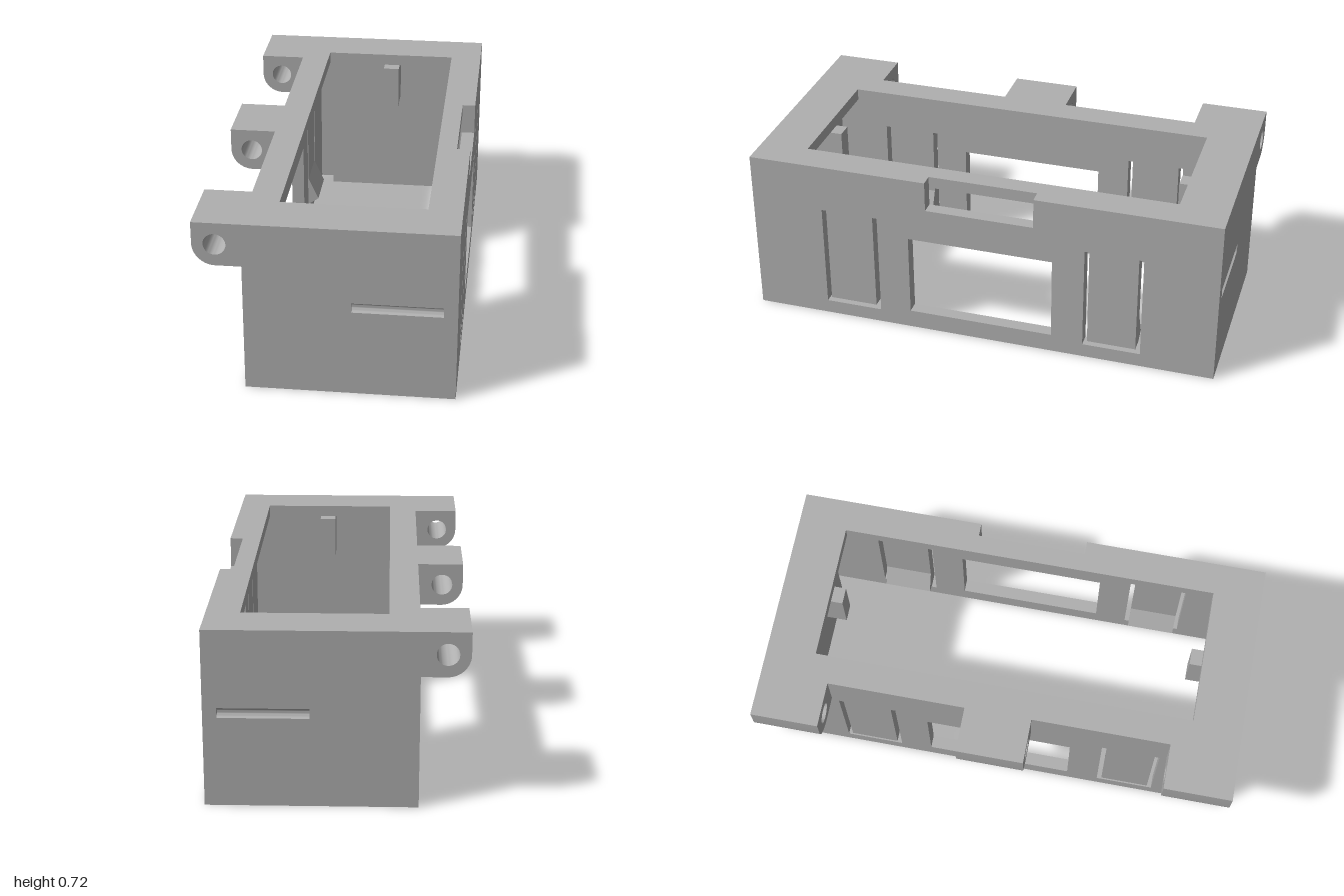
import * as THREE from 'three';
import { toCreasedNormals } from 'three/addons/utils/BufferGeometryUtils.js';

const T = 0.055;                       // wall thickness
const X0 = -0.32, X1 = 0.51;           // body width
const PLATE_Y = 0.67, TOP = 0.72;      // underside and top of the rim plate

const poly = (pts) => new THREE.Shape(pts.map(([a, b]) => new THREE.Vector2(a, b)));
const extrude = (shape, depth) => toCreasedNormals(
  new THREE.ExtrudeGeometry(shape, { depth, bevelEnabled: false, curveSegments: 20 }), 0.6);
const rect = (a0, b0, a1, b1) => [[a0, b0], [a1, b0], [a1, b1], [a0, b1]];

export function createModel() {
  const model = new THREE.Group();
  model.name = 'batteryFrame';
  const grey = new THREE.MeshStandardMaterial({ color: 0xb0b0b0 });
  grey.name = 'grey plastic';

  const add = (name, geometry) => {
    const mesh = new THREE.Mesh(geometry, grey);
    mesh.name = name;
    model.add(mesh);
    return mesh;
  };
  const box = (name, x0, x1, y0, y1, z0, z1) => {
    const g = new THREE.BoxGeometry(x1 - x0, y1 - y0, Math.abs(z1 - z0));
    return add(name, g.translate((x0 + x1) / 2, (y0 + y1) / 2, (z0 + z1) / 2));
  };
  // Profile in (-z, y), extruded along +x from x0 to x1
  const alongX = (name, shape, x0, x1) =>
    add(name, extrude(shape, x1 - x0).rotateY(Math.PI / 2).translate(x0, 0, 0));

  // Rim plate with the large opening and a shallow notch on the left edge
  const plate = poly([[X0, -1], [X1, -1], [X1, -0.23], [X1 - T, -0.23],
    [X1 - T, 0.23], [X1, 0.23], [X1, 1], [X0, 1]]);
  plate.holes.push(poly(rect(-0.2, -0.795, 0.375, 0.795)));
  add('rimPlate', extrude(plate, TOP - PLATE_Y).rotateX(-Math.PI / 2).translate(0, PLATE_Y, 0));

  // Side walls with a window and U-shaped slots that free two snap tongues
  const sideWall = (notched) => {
    const notch = notched ? [[0.23, PLATE_Y], [0.23, 0.59], [-0.23, 0.59], [-0.23, PLATE_Y]] : [];
    const shape = poly([[-1, 0], [1, 0], [1, PLATE_Y], ...notch, [-1, PLATE_Y]]);
    shape.holes.push(poly(rect(-0.31, 0.08, 0.31, 0.44)));
    for (const s of [-1, 1]) {
      shape.holes.push(poly([[0.445, 0.515], [0.445, 0.06], [0.69, 0.06], [0.69, 0.515],
        [0.67, 0.515], [0.67, 0.08], [0.465, 0.08], [0.465, 0.515]].map(([u, y]) => [s * u, y])));
    }
    return shape;
  };
  alongX('leftWall', sideWall(true), X1 - T, X1);
  alongX('rightWall', sideWall(false), X0, X0 + T);

  // Wedge hooks on the inner foot of every tongue
  for (const [inner, dir] of [[X1 - T, -1], [X0 + T, 1]]) {
    for (const s of [-1, 1]) {
      const wedge = poly([[inner, 0.08], [inner + dir * 0.045, 0.11], [inner, 0.21]]);
      add('snapHook', extrude(wedge, 0.205).translate(0, 0, s * 0.5675 - 0.1025));
    }
  }

  // End walls: grooved outer face, thick inner block and a guide tab
  for (const s of [-1, 1]) {
    const zi = s * 0.95;
    box('endWall', X0 + T, 0.1, 0, PLATE_Y, zi, s);
    const pts = [[-zi, 0], [-s, 0]];
    for (let i = 0; i <= 16; i++) {
      const a = -Math.PI / 2 + Math.PI * i / 16;
      pts.push([-s * (1 - 0.02 * Math.cos(a)), 0.385 + 0.02 * Math.sin(a)]);
    }
    pts.push([-s, PLATE_Y], [-zi, PLATE_Y]);
    alongX('groovedEndWall', poly(pts), 0.1, X1 - T);
    box('endBlock', -0.2, 0.375, 0, PLATE_Y, s * 0.88, zi);
    box('guideTab', 0.06, 0.13, 0.48, PLATE_Y, s * 0.745, s * 0.88);
  }

  // Hinge lugs with a rounded lower corner and a pin hole
  const lug = new THREE.Shape();
  lug.moveTo(X0, TOP);
  lug.lineTo(-0.51, TOP);
  lug.lineTo(-0.51, 0.63);
  lug.absarc(-0.42, 0.63, 0.09, Math.PI, Math.PI * 1.5, false);
  lug.lineTo(X0, 0.54);
  lug.closePath();
  const pin = new THREE.Path();
  pin.absarc(-0.422, 0.63, 0.044, 0, Math.PI * 2, true);
  lug.holes.push(pin);
  for (const [z0, z1] of [[-1, -0.718], [-0.14, 0.14], [0.718, 1]]) {
    add('hingeLug', extrude(lug, z1 - z0).translate(0, 0, z0));
  }
  return model;
}
